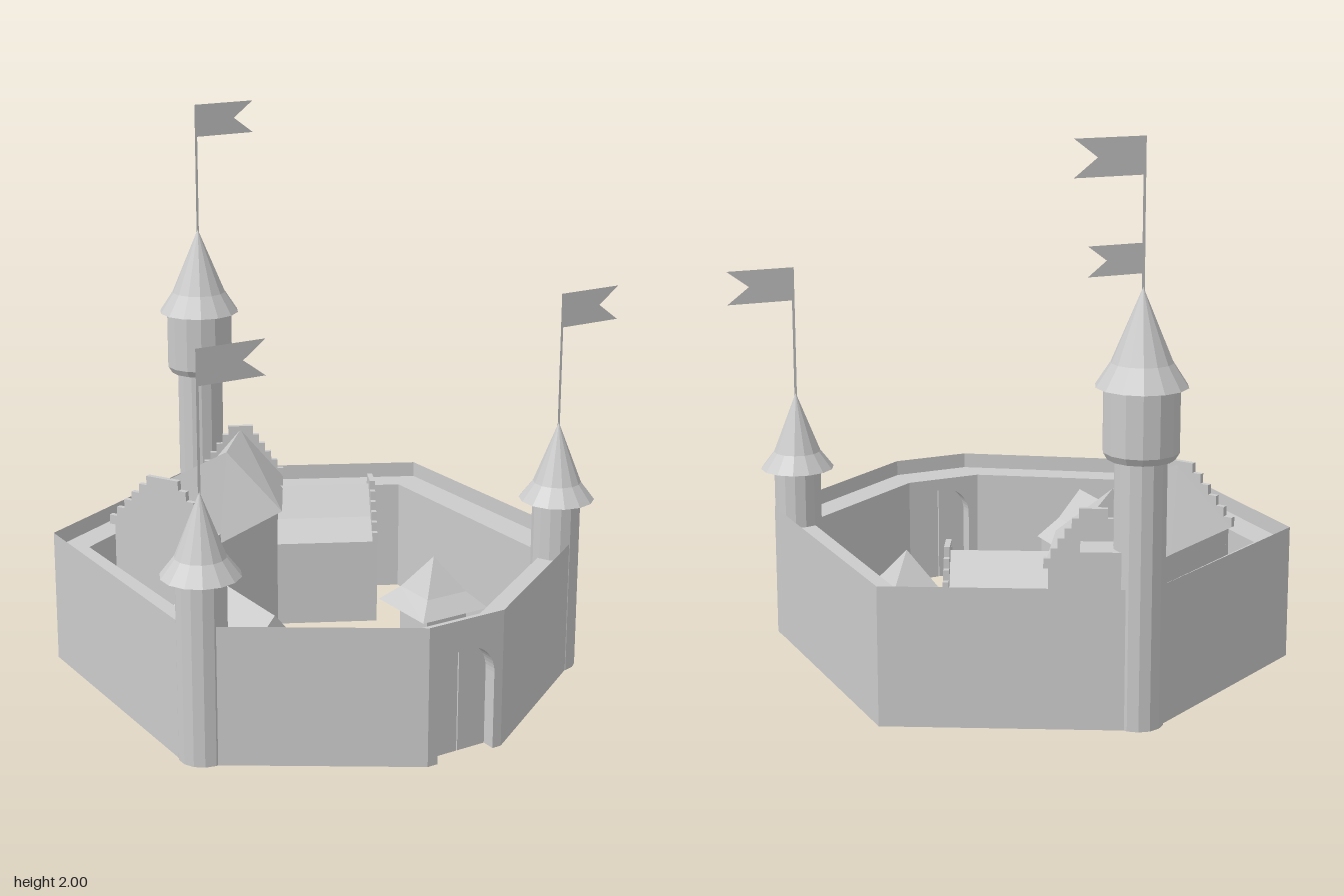
import * as THREE from 'three';

const mat = new THREE.MeshStandardMaterial({ color: 0xcccccc, flatShading: true, side: THREE.DoubleSide });

function add(parent, name, geometry, x = 0, y = 0, z = 0) {
  const mesh = new THREE.Mesh(geometry, mat);
  mesh.name = name;
  mesh.position.set(x, y, z);
  parent.add(mesh);
  return mesh;
}

// Build a geometry from a list of triangles, turned so that a closed solid faces outwards
function solid(tris) {
  let volume = 0;
  for (const [a, b, c] of tris) volume += a.dot(b.clone().cross(c));
  const points = tris.flatMap(t => (volume < 0 ? [t[0], t[2], t[1]] : t));
  const g = new THREE.BufferGeometry().setFromPoints(points);
  g.computeVertexNormals();
  return g;
}

// Loft a profile of (u, y) along stations [cx, cz, sx, sz]: centre and half-width vector
function loft(profile, stations) {
  const rings = stations.map(([cx, cz, sx, sz]) =>
    profile.map(([u, y]) => new THREE.Vector3(cx + u * sx, y, cz + u * sz)));
  const tris = [];
  const n = profile.length;
  for (let i = 0; i + 1 < rings.length; i++) {
    const a = rings[i], b = rings[i + 1];
    for (let j = 0; j < n; j++) {
      const k = (j + 1) % n;
      tris.push([a[j], b[j], b[k]], [a[j], b[k], a[k]]);
    }
  }
  const caps = THREE.ShapeUtils.triangulateShape(profile.map(p => new THREE.Vector2(...p)), []);
  const last = rings[rings.length - 1];
  for (const [i, j, k] of caps) {
    tris.push([rings[0][i], rings[0][j], rings[0][k]], [last[i], last[k], last[j]]);
  }
  return solid(tris);
}

// Gabled building cross-section: walls slightly inset, roof with an optional kink halfway
function gableProfile(eave, ridge, kink) {
  const half = [[0.9, 0], [0.9, eave + 0.01], [1, eave]];
  if (kink) half.push([0.5, kink]);
  return [...half, [0, ridge], ...half.map(([u, y]) => [-u, y]).reverse()];
}

// Crow-stepped gable wall standing at a station
function steppedGable(parent, name, [cx, cz, sx, sz], eave, top, steps = 6) {
  const w = Math.hypot(sx, sz);
  const right = [[0.9 * w, 0], [0.9 * w, eave], [w, eave]];
  for (let i = 0; i < steps; i++) {
    const y = eave + (top - eave) * (i + 1) / steps;
    right.push([w * (1 - 0.142 * i), y], [w * (i < steps - 1 ? 1 - 0.142 * (i + 1) : 0), y]);
  }
  const outline = [...right, ...right.slice(0, -1).map(([x, y]) => [-x, y]).reverse()];
  const g = new THREE.ExtrudeGeometry(new THREE.Shape(outline.map(p => new THREE.Vector2(...p))),
    { depth: 0.02, bevelEnabled: false });
  g.translate(0, 0, -0.01);
  add(parent, name, g, cx, 0, cz).rotation.y = Math.atan2(-sz, sx);
}

// Round tower: profile of body, flared cone roof and a flat swallow-tailed flag
function tower(parent, name, x, z, body, roof, flagTop) {
  const g = new THREE.Group();
  g.name = name;
  g.position.set(x, 0, z);
  parent.add(g);
  const lathe = pts => new THREE.LatheGeometry(pts.map(p => new THREE.Vector2(...p)), 14);
  add(g, 'towerBody', lathe([[0, 0], ...body]));
  add(g, 'coneRoof', lathe([[0, roof[0][1]], ...roof]));
  const tip = roof[roof.length - 1][1];
  const flag = [[-0.005, tip - 0.03], [0.005, tip - 0.03], [0.005, flagTop - 0.125], [0.255, flagTop - 0.125],
    [0.17, flagTop - 0.0625], [0.255, flagTop], [-0.005, flagTop]];
  add(g, 'flag', new THREE.ShapeGeometry(new THREE.Shape(flag.map(p => new THREE.Vector2(...p)))));
}

// Half arch path from the ground on the right to the crown, centred on x = 0
const GATE_X = -0.06, GATE_R = 0.115, SPRING = 0.28;

function createWalls(parent) {
  const walls = new THREE.Group();
  walls.name = 'curtainWall';
  parent.add(walls);
  const H = 0.5, WALK = 0.44;
  const outer = [[0.09, 1], [0.765, 0.56], [0.755, -0.5], [-0.06, -0.925], [-0.875, -0.5], [-0.89, 0.56], [-0.215, 1]];
  const inner = [[0.09, 0.865], [0.64, 0.51], [0.64, -0.44], [-0.06, -0.815], [-0.76, -0.44], [-0.765, 0.51], [-0.215, 0.865]];

  // Thin parapet outside, walkway on top, inner face and underside
  const tris = [];
  const quad = (a, b, c, d) => tris.push([a, b, c], [a, c, d]);
  const v = ([x, z], y) => new THREE.Vector3(x, y, z);
  for (let i = 0; i < outer.length - 1; i++) {
    const a = outer[i], b = outer[i + 1], c = inner[i], d = inner[i + 1];
    quad(v(a, 0), v(b, 0), v(b, H), v(a, H));
    quad(v(c, WALK), v(d, WALK), v(d, 0), v(c, 0));
    quad(v(a, WALK), v(b, WALK), v(d, WALK), v(c, WALK));
    quad(v(c, 0), v(d, 0), v(b, 0), v(a, 0));
  }
  add(walls, 'wallRing', solid(tris));

  // Front section with the gate arch cut through it
  const l = -0.215 - GATE_X, r = 0.09 - GATE_X;
  const s = new THREE.Shape();
  s.moveTo(r, 0).lineTo(r, WALK).lineTo(l, WALK).lineTo(l, 0).lineTo(-GATE_R, 0).lineTo(-GATE_R, SPRING);
  s.absarc(0, SPRING, GATE_R, Math.PI, 0, true);
  s.lineTo(GATE_R, 0);
  add(walls, 'gateWall', new THREE.ExtrudeGeometry(s, { depth: 0.135, bevelEnabled: false, curveSegments: 12 }),
    GATE_X, 0, 0.865);
  add(walls, 'gateParapet', new THREE.PlaneGeometry(r - l, H - WALK), GATE_X + (l + r) / 2, (H + WALK) / 2, 1);

  // Pair of door leaves
  const leaf = new THREE.Shape();
  leaf.moveTo(0.002, 0).lineTo(GATE_R, 0).lineTo(GATE_R, SPRING);
  leaf.absarc(0, SPRING, GATE_R, 0, Math.PI / 2 - 0.02, false);
  const leafGeo = new THREE.ExtrudeGeometry(leaf, { depth: 0.03, bevelEnabled: false, curveSegments: 8 });
  for (const side of [1, -1]) add(walls, side > 0 ? 'leftDoor' : 'rightDoor', leafGeo, GATE_X, 0, 0.92).scale.x = side;
}

export function createModel() {
  const model = new THREE.Group();
  model.name = 'castle';
  createWalls(model);

  // Two front towers and the taller back tower with its gallery
  for (const [name, x] of [['leftTower', 0.68], ['rightTower', -0.81]]) {
    tower(model, name, x, 0.53, [[0.088, 0], [0.088, 0.66]],
      [[0.138, 0.655], [0.088, 0.72], [0, 0.945]], 1.425);
  }
  tower(model, 'backTower', -0.06, -0.84,
    [[0.09, 0], [0.09, 0.935], [0.115, 0.935], [0.13, 0.96], [0.13, 1.18]],
    [[0.157, 1.18], [0.105, 1.26], [0, 1.51]], 2);

  // Passage from the back tower onto the wall
  add(model, 'towerPassage', new THREE.BoxGeometry(0.22, 0.225, 0.125), 0.02, 0.5125, -0.8).rotation.y = -0.48;

  // Bent great hall with stepped gables
  const hall = new THREE.Group();
  hall.name = 'greatHall';
  model.add(hall);
  const hallPath = [[-0.545, -0.24, 0.115, 0.21], [-0.17, -0.435, 0.12, 0.215], [0.03, -0.675, 0.15, 0.08]];
  add(hall, 'hallBody', loft(gableProfile(0.515, 0.715), hallPath));
  steppedGable(hall, 'westGable', hallPath[0], 0.515, 0.73);
  steppedGable(hall, 'eastGable', hallPath[2], 0.515, 0.73);

  // Annex wing beside the hall
  const annex = new THREE.Group();
  annex.name = 'annex';
  model.add(annex);
  const annexPath = [[0.06, -0.48, -0.077, 0.15], [0.41, -0.3, -0.077, 0.15]];
  add(annex, 'annexBody', loft(gableProfile(0.34, 0.525, 0.415), annexPath));
  steppedGable(annex, 'annexGable', annexPath[1], 0.34, 0.55);

  // Barn in the yard
  add(model, 'barn', loft(gableProfile(0.26, 0.435, 0.325), [[-0.51, -0.035, 0.19, 0], [-0.51, 0.5, 0.19, 0]]));

  // Square hut with a flared pyramid roof
  const hut = new THREE.Group();
  hut.name = 'hut';
  hut.position.set(0.37, 0, 0.195);
  model.add(hut);
  add(hut, 'hutBody', new THREE.BoxGeometry(0.18, 0.22, 0.18), 0, 0.11, 0);
  const roof = [[0, 0.2], [0.21, 0.19], [0.125, 0.25], [0, 0.38]].map(p => new THREE.Vector2(...p));
  add(hut, 'hutRoof', new THREE.LatheGeometry(roof, 4, Math.PI / 4));

  return model;
}
